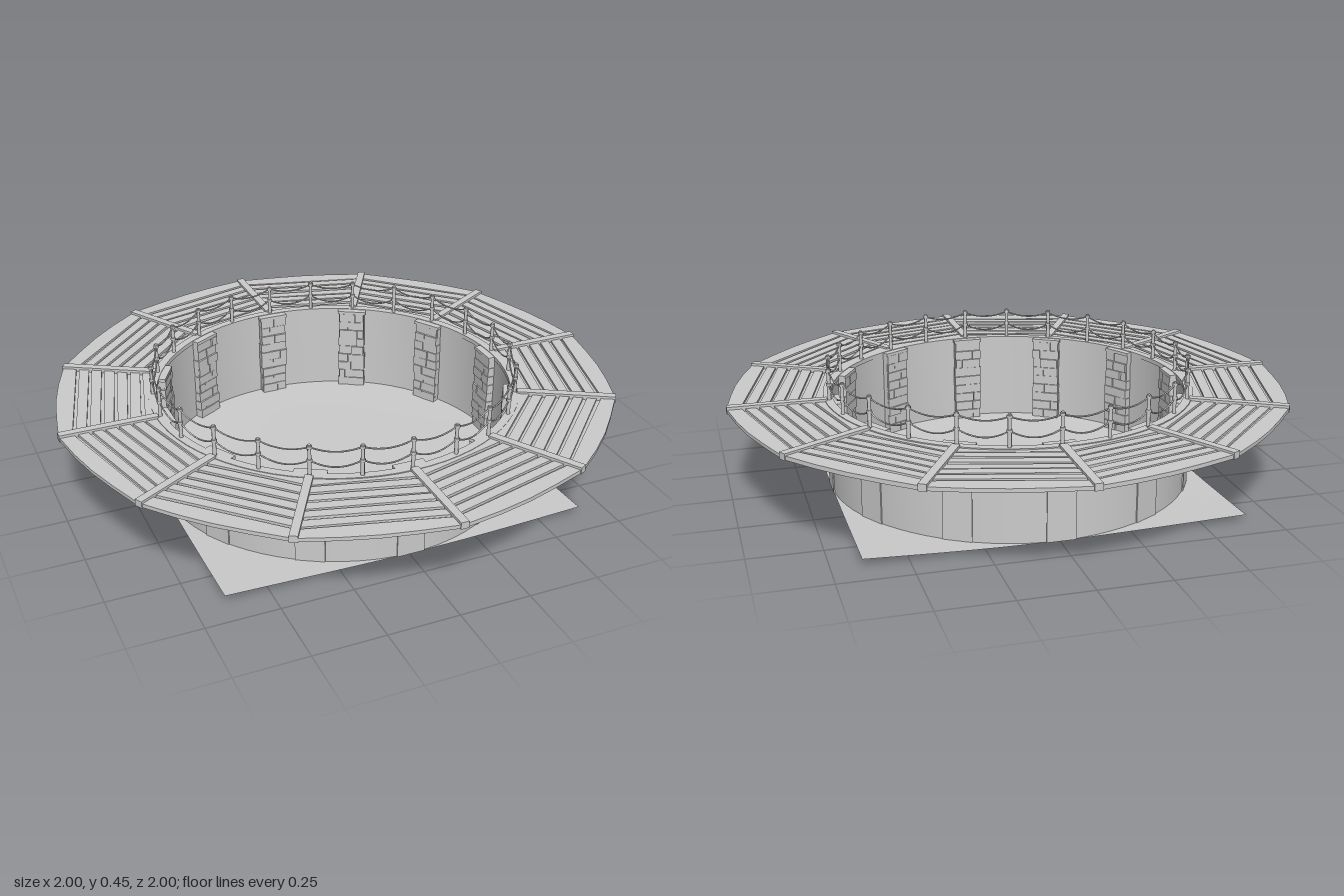
import * as THREE from 'three';
import { toCreasedNormals } from 'three/addons/utils/BufferGeometryUtils.js';

const grey = new THREE.MeshStandardMaterial({ color: 0xcccccc });
const flat = new THREE.MeshStandardMaterial({ color: 0xcccccc, flatShading: true });
const thin = new THREE.MeshStandardMaterial({ color: 0xcccccc, side: THREE.DoubleSide });
const SECTORS = 12, STEP = (Math.PI * 2) / SECTORS, HALF_TAN = Math.tan(STEP / 2);

let seed = 7;
const rand = (a, b) => {
  seed = (seed * 16807) % 2147483647;
  return a + (b - a) * (seed / 2147483647);
};

function add(parent, name, geometry, material = grey, x = 0, y = 0, z = 0) {
  const mesh = new THREE.Mesh(geometry, material);
  mesh.name = name;
  mesh.position.set(x, y, z);
  parent.add(mesh);
  return mesh;
}

// Group turned so that its local +x points outwards at the given angle
function spoke(parent, name, angle) {
  const group = new THREE.Group();
  group.name = name;
  group.rotation.y = angle;
  parent.add(group);
  return group;
}

// Closed ring of rectangular section
function ring(r0, r1, y0, y1, segments) {
  const profile = [[r0, y0], [r1, y0], [r1, y1], [r0, y1], [r0, y0]];
  const lathe = new THREE.LatheGeometry(profile.map(([r, y]) => new THREE.Vector2(r, y)), segments);
  return toCreasedNormals(lathe, Math.PI / 5);
}

// Flat slab from an outline in (outward, sideways) coordinates
function slab(outline, y0, y1) {
  const shape = new THREE.Shape(outline.map(([a, b]) => new THREE.Vector2(a, b)));
  const geometry = new THREE.ExtrudeGeometry(shape, { depth: y1 - y0, bevelEnabled: false });
  return geometry.rotateX(-Math.PI / 2).translate(0, y0, 0);
}

// Gently dished square of ground
function ground() {
  const geometry = new THREE.PlaneGeometry(1.3, 1.3, 24, 24).rotateX(-Math.PI / 2);
  const p = geometry.attributes.position;
  for (let i = 0; i < p.count; i++) {
    const x = p.getX(i), z = p.getZ(i);
    p.setY(i, 0.004 + 0.027 * (x * x + z * z) + 0.003 * Math.sin(5 * x + 1) * Math.cos(4 * z));
  }
  geometry.computeVertexNormals();
  return geometry;
}

// Pillar set into the wall, faced with rough stone courses
function pillar(parent, angle) {
  const group = spoke(parent, 'pillar', angle);
  add(group, 'pillarCore', new THREE.BoxGeometry(0.04, 0.32, 0.1), grey, 0.632, 0.172, 0);
  const courses = 9, h = 0.32 / courses;
  for (let i = 0; i < courses; i++) {
    const w = rand(0.096, 0.11), split = rand(-0.025, 0.025);
    for (const [from, to] of [[-w / 2, split], [split, w / 2]]) {
      const depth = rand(0.022, 0.03);
      const stone = new THREE.BoxGeometry(depth, h - 0.002, to - from - 0.002);
      add(group, 'pillarStone', stone, flat, 0.632 - depth / 2, 0.012 + (i + 0.5) * h, (from + to) / 2);
    }
  }
  add(group, 'pillarCap', new THREE.BoxGeometry(0.04, 0.012, 0.11), grey, 0.625, 0.336, 0);
}

// One wedge of decking made of parallel boards
function deckSector(parent, angle) {
  const group = spoke(parent, 'deckSector', angle);
  const boards = 7, inner = 0.642, outer = 0.964, pitch = (outer - inner) / boards;
  const edge = (a) => a * HALF_TAN;
  const rim = [[outer, -edge(outer)], [0.978, -0.12], [0.982, 0], [0.976, 0.12], [outer, edge(outer)]];
  add(group, 'deckBase', slab([[inner, -edge(inner)], ...rim, [inner, edge(inner)]], 0.328, 0.333));
  for (let i = 0; i < boards; i++) {
    const a = inner + i * pitch;
    const skew = rand(-0.003, 0.003);
    const b = a + pitch - 0.011;
    const far = i === boards - 1 ? rim : [[b + skew, -edge(b)], [b - skew, edge(b)]];
    const top = 0.341 + rand(-0.001, 0.002);
    add(group, 'deckBoard', slab([[a, -edge(a)], ...far, [a, edge(a)]], 0.333, top));
  }
}

// Post with a knob and two rope bindings
function post(parent, angle) {
  const group = spoke(parent, 'railPost', angle);
  add(group, 'postShaft', new THREE.CylinderGeometry(0.006, 0.007, 0.115, 8), grey, 0.645, 0.3975, 0);
  for (const y of [0.398, 0.446])
    add(group, 'postBinding', new THREE.CylinderGeometry(0.0095, 0.0095, 0.01, 8), grey, 0.645, y, 0);
}

// Rope hanging between two neighbouring posts
function rope(parent, a0, a1, y, sag) {
  const at = (a, h) => new THREE.Vector3(0.645 * Math.cos(a), h, -0.645 * Math.sin(a));
  const start = at(a0, y), end = at(a1, y);
  const low = start.clone().add(end).multiplyScalar(0.5);
  low.y -= 2 * sag;
  const curve = new THREE.QuadraticBezierCurve3(start, low, end);
  add(parent, 'rope', new THREE.TubeGeometry(curve, 10, 0.0028, 6));
}

export function createModel() {
  const model = new THREE.Group();
  model.name = 'roundPitArena';

  add(model, 'ground', ground(), thin);
  add(model, 'pitWall', ring(0.636, 0.65, 0.012, 0.332, 72));
  add(model, 'innerRim', ring(0.632, 0.662, 0.328, 0.344, 72));

  for (let i = 0; i < SECTORS; i++) {
    const angle = i * STEP;
    pillar(model, angle);
    deckSector(model, angle + STEP / 2);
    // Radial beam covering the joint between two wedges
    const joint = spoke(model, 'deckJoint', angle);
    add(joint, 'radialBeam', new THREE.BoxGeometry(0.345, 0.024, 0.028), grey, 0.826, 0.338, 0);
  }

  // Rope railing around the pit
  const posts = 24, turn = (Math.PI * 2) / posts;
  const railing = new THREE.Group();
  railing.name = 'railing';
  model.add(railing);
  for (let i = 0; i < posts; i++) {
    post(railing, i * turn);
    rope(railing, i * turn, (i + 1) * turn, 0.446, 0.018);
    rope(railing, i * turn, (i + 1) * turn, 0.398, 0.026);
  }
  return model;
}
